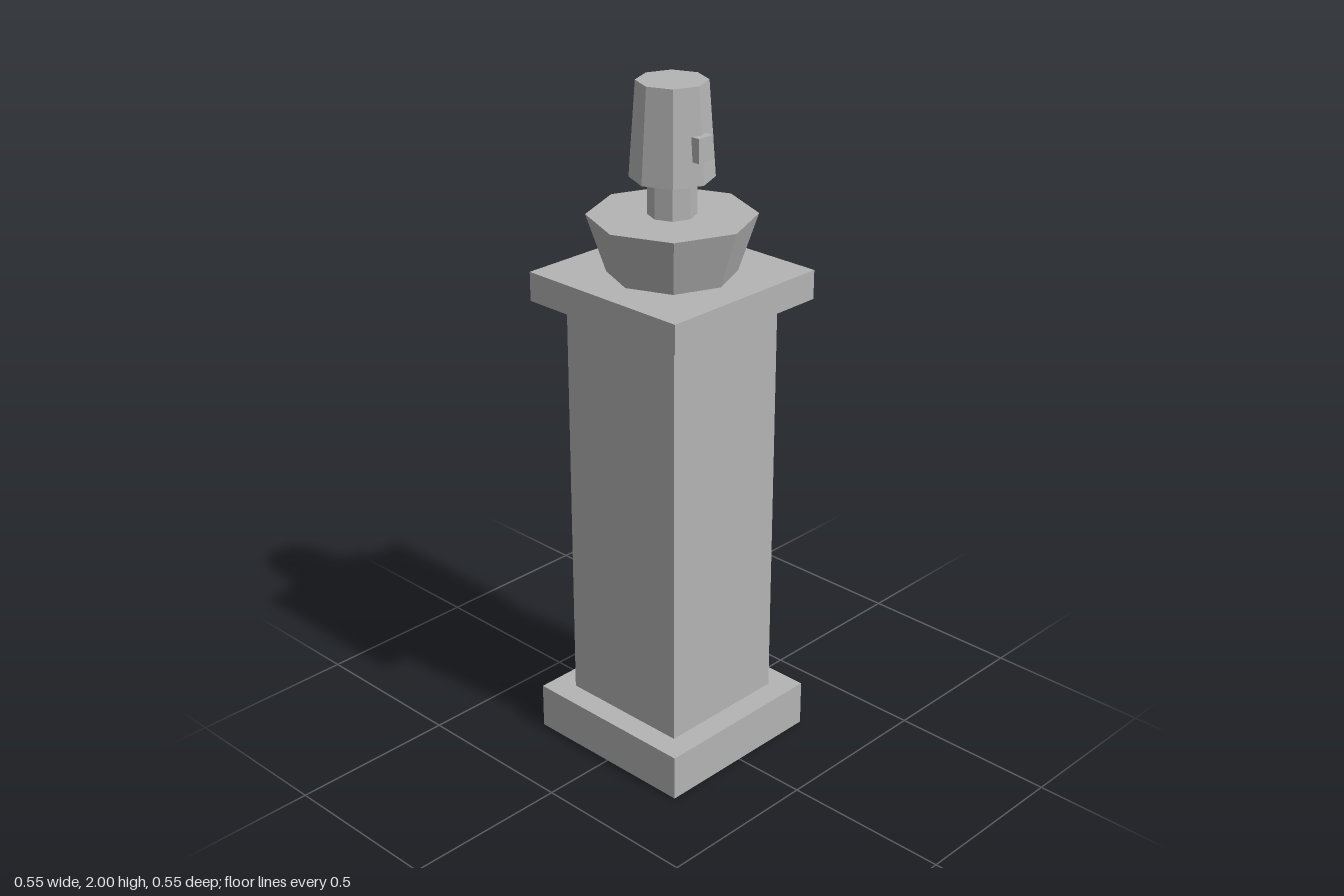
import * as THREE from 'three';

export function createModel() {
  const model = new THREE.Group();
  model.name = 'bustOnPedestal';
  const stone = new THREE.MeshStandardMaterial({ color: 0xb4b4b4, flatShading: true });
  stone.name = 'grey stone';

  const add = (name, geometry, y, z = 0) => {
    const mesh = new THREE.Mesh(geometry, stone);
    mesh.name = name;
    mesh.position.set(0, y, z);
    model.add(mesh);
  };
  // Square block between two heights
  const block = (name, width, y0, y1) =>
    add(name, new THREE.BoxGeometry(width, y1 - y0, width), (y0 + y1) / 2);
  // Eight-sided tapered section between two heights, corners on the axes
  const octagon = (name, rBottom, rTop, y0, y1) =>
    add(name, new THREE.CylinderGeometry(rTop, rBottom, y1 - y0, 8), (y0 + y1) / 2);

  // Pedestal
  block('plinth', 0.55, 0, 0.137);
  block('shaft', 0.41, 0.137, 1.38);
  block('capital', 0.55, 1.38, 1.465);

  // Bust
  octagon('shoulders', 0.18, 0.235, 1.465, 1.63);
  octagon('neck', 0.068, 0.068, 1.63, 1.735);
  octagon('head', 0.117, 0.098, 1.735, 2);
  add('nose', new THREE.BoxGeometry(0.055, 0.068, 0.028), 1.836, 0.11);

  return model;
}
